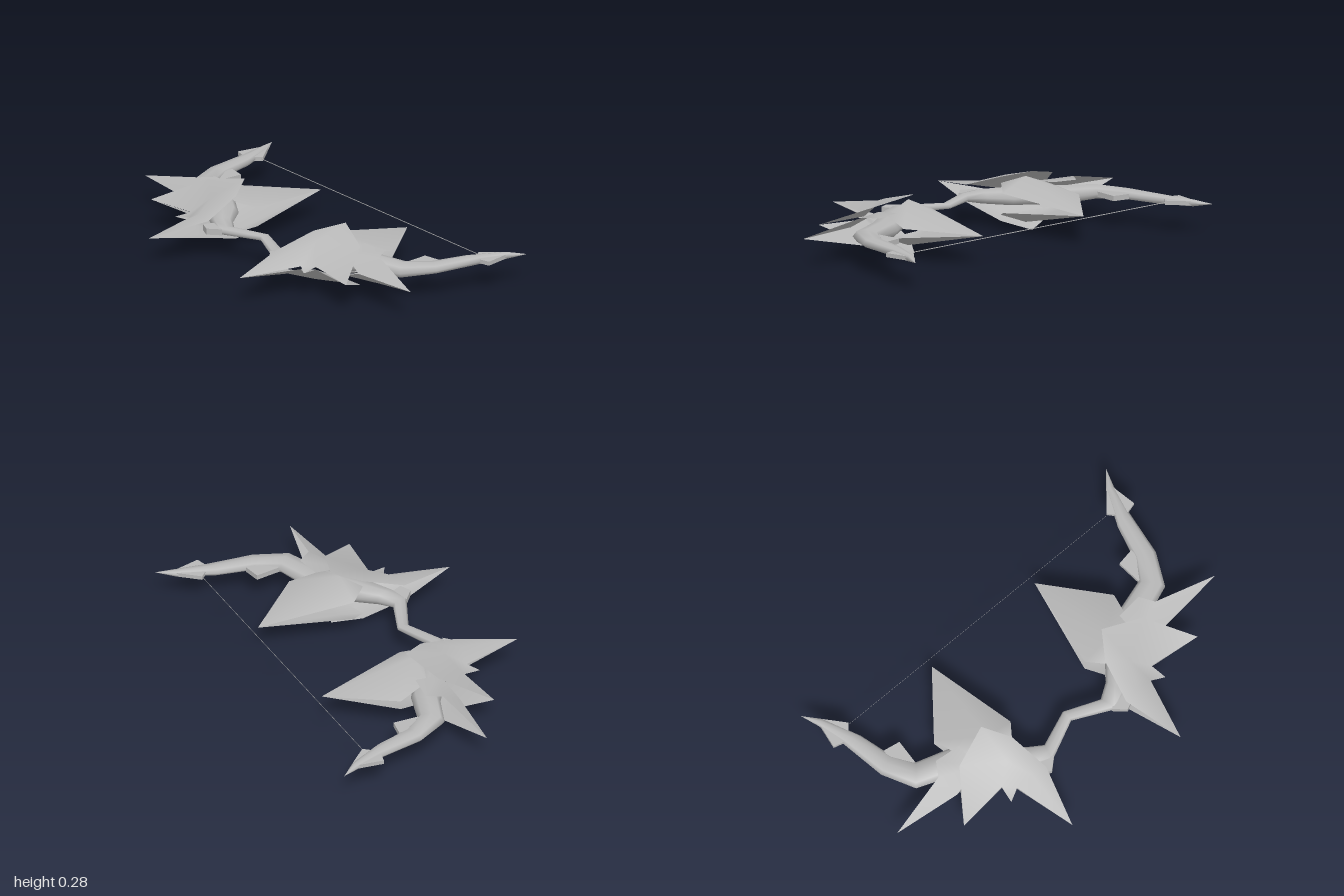
import * as THREE from 'three';

const MID = 0.143; // height of the horizontal symmetry plane

const steel = new THREE.MeshStandardMaterial({ color: 0xb8b8b8, side: THREE.DoubleSide });
steel.name = 'grey steel';

function build(points, faces) {
  const g = new THREE.BufferGeometry();
  g.setAttribute('position', new THREE.Float32BufferAttribute(points.flat(), 3));
  g.setIndex(faces.flat());
  g.computeVertexNormals();
  return g;
}

// Smooth sheet, mirrored to left/right and upper/lower
function addSheets(group, name, points, faces) {
  for (const sx of [1, -1]) for (const sy of [1, -1]) {
    const p = points.map(([x, y, z]) => [x * sx, MID + (y - MID) * sy, z]);
    const f = sx * sy > 0 ? faces : faces.map(([a, b, c]) => [a, c, b]);
    const mesh = new THREE.Mesh(build(p, f), steel);
    mesh.name = (sx > 0 ? 'left' : 'right') + (sy > 0 ? 'Upper' : 'Lower') + name;
    group.add(mesh);
  }
}

// Thin flat barb lying in the symmetry plane; outline given as x, z
function addBarbs(group, name, outline, thickness) {
  for (const sx of [1, -1]) {
    const shape = new THREE.Shape(outline.map(([x, z]) => new THREE.Vector2(x * sx, -z)));
    const g = new THREE.ExtrudeGeometry(shape, { depth: thickness, bevelEnabled: false });
    g.rotateX(-Math.PI / 2).translate(0, MID - thickness / 2, 0);
    const mesh = new THREE.Mesh(g, steel);
    mesh.name = (sx > 0 ? 'left' : 'right') + name;
    group.add(mesh);
  }
}

// Curved bow body lofted through oval sections: back x, z, front x, z, half height
function bowBody() {
  const half = [
    [0, 0.16, 0, 0.22, 0.015],
    [0.175, 0.23, 0.20, 0.315, 0.02],
    [0.25, 0.18, 0.27, 0.29, 0.035],
    [0.33, 0.08, 0.40, 0.22, 0.045],
    [0.53, -0.05, 0.62, 0.06, 0.045],
    [0.69, -0.10, 0.775, 0, 0.035],
    [0.755, -0.20, 0.855, -0.16, 0.025],
    [0.80, -0.37, 0.89, -0.40, 0.023],
    [0.88, -0.55, 0.92, -0.54, 0.017],
    [0.95, -0.63, 0.95, -0.63, 0],
  ];
  const mirrored = half.slice(1).reverse().map(([a, b, c, d, h]) => [-a, b, -c, d, h]);
  const rings = [...mirrored, ...half];
  const n = 8, points = [], faces = [];
  rings.forEach(([bx, bz, fx, fz, h], i) => {
    for (let j = 0; j < n; j++) {
      const a = (j / n) * Math.PI * 2, t = (1 + Math.cos(a)) / 2;
      points.push([bx + (fx - bx) * t, MID + h * Math.sin(a), bz + (fz - bz) * t]);
      if (i === 0) continue;
      const k = (j + 1) % n, p = (i - 1) * n, q = i * n;
      faces.push([p + j, q + j, q + k], [p + j, q + k, p + k]);
    }
  });
  return build(points, faces);
}

export function createModel() {
  const group = new THREE.Group();
  group.name = 'spikedBow';

  const body = new THREE.Mesh(bowBody(), steel);
  body.name = 'bowBody';
  group.add(body);

  // Front armour with a long, a middle and a small spike
  addSheets(group, 'FrontPlate', [
    [0.375, 0.285, 0.005], [0.29, 0.25, 0.13], [0.25, 0.185, 0.33], [0.337, MID, 0.62],
    [0.415, 0.15, 0.31], [0.48, MID, 0.345], [0.465, 0.15, 0.26], [0.727, MID, 0.29],
    [0.57, 0.24, 0.075], [0.385, 0.235, 0.2], [0.33, 0.195, 0.32],
  ], [
    [0, 1, 9], [1, 2, 10], [1, 10, 9], [2, 3, 10], [10, 3, 4], [9, 10, 4],
    [9, 4, 6], [4, 5, 6], [9, 6, 8], [6, 7, 8], [0, 9, 8],
  ]);

  // Sideways spike beneath the front armour
  addSheets(group, 'SideSpike', [
    [0.50, 0.215, -0.01], [0.63, 0.21, -0.025], [0.675, 0.21, 0.045],
    [0.99, MID, 0.112], [0.65, MID, 0.15], [0.50, 0.2, 0.12],
  ], [[0, 5, 1], [1, 5, 2], [5, 4, 2], [2, 4, 3]]);

  // Broad blade pointing back
  addSheets(group, 'RearBlade', [
    [0.32, MID, -0.415], [0.23, 0.19, 0.05], [0.29, 0.22, 0.13],
    [0.375, 0.254, 0.05], [0.52, 0.2, 0.04], [0.56, 0.165, -0.12],
  ], [[0, 1, 3], [1, 2, 3], [0, 3, 5], [3, 4, 5], [3, 2, 4]]);

  // Small barbs along the limbs and grip
  addBarbs(group, 'OuterTipBarb', [[0.91, -0.55], [0.935, -0.41], [0.86, -0.39]], 0.02);
  addBarbs(group, 'InnerTipBarb', [[0.885, -0.55], [0.803, -0.455], [0.85, -0.40]], 0.02);
  addBarbs(group, 'LimbBarb', [[0.77, -0.24], [0.685, -0.225], [0.695, -0.10], [0.78, -0.12]], 0.025);
  addBarbs(group, 'GripBarb', [[0.18, 0.305], [0.235, 0.355], [0.29, 0.33], [0.26, 0.25]], 0.03);

  // Bowstring: a fine upright ribbon between the inner barbs
  const string = new THREE.Mesh(new THREE.PlaneGeometry(1.64, 0.004), steel);
  string.position.set(0, MID, -0.45);
  string.name = 'bowstring';
  group.add(string);

  return group;
}
